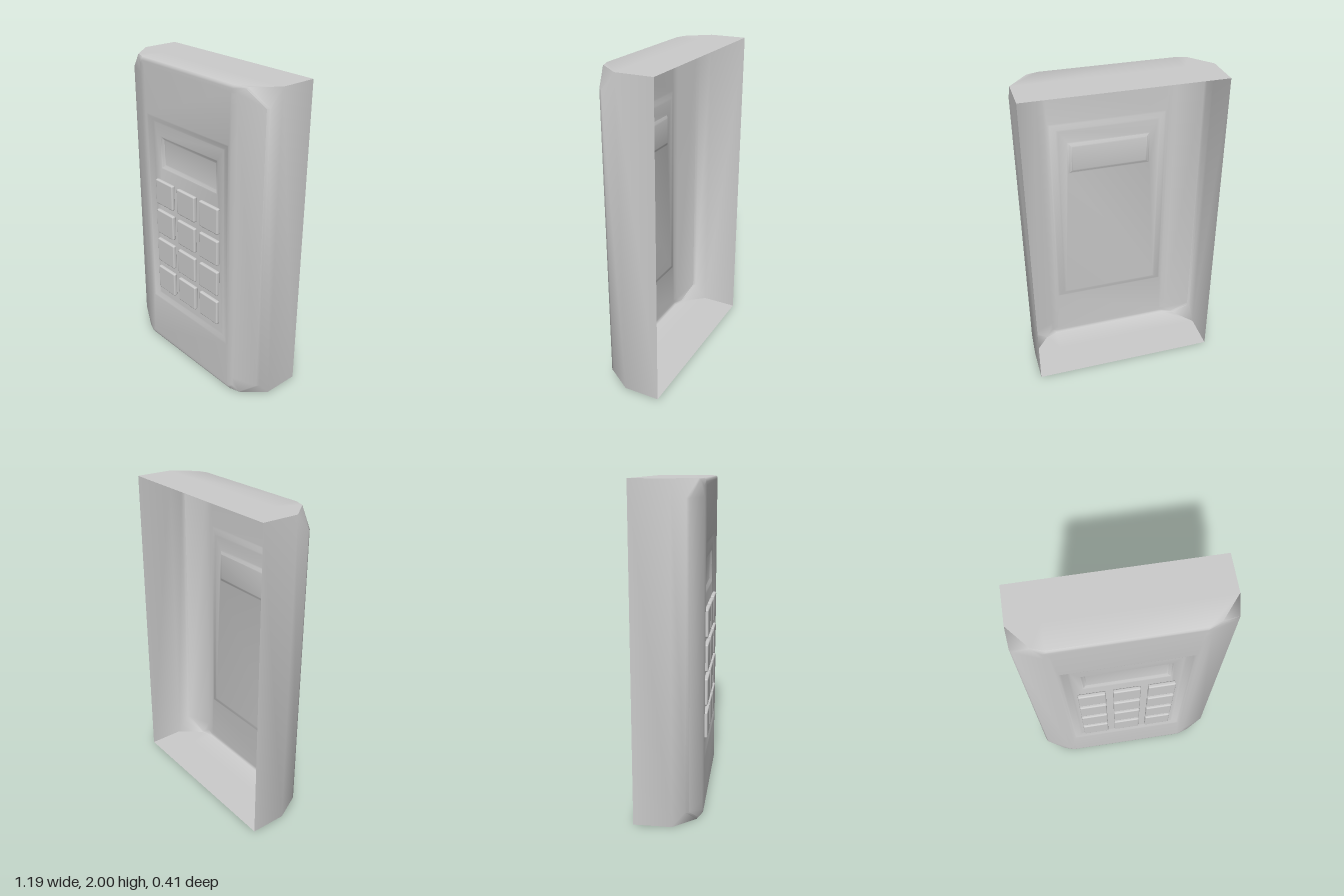
import * as THREE from 'three';
import { toCreasedNormals } from 'three/addons/utils/BufferGeometryUtils.js';
import { RoundedBoxGeometry } from 'three/addons/geometries/RoundedBoxGeometry.js';

const FACE_Z = 0.195, PANEL_Z = 0.178, SCREEN_Z = 0.162;

// Full loop from one corner (side point, corner point, top point), mirrored to four corners.
// Points run counter-clockwise seen from the front.
function loop(corner, cy = 1) {
  const back = [...corner].reverse();
  const place = (pts, sx, sy) => pts.map(([x, y, z]) => new THREE.Vector3(sx * x, cy + sy * y, z));
  return [...place(corner, 1, 1), ...place(back, -1, 1), ...place(corner, -1, -1), ...place(back, 1, -1)];
}

// Plain rectangle loop
function rect(hx, hy, z, cy = 1) {
  return loop([[hx, hy, z], [hx, hy, z], [hx, hy, z]], cy);
}

// Skin between successive loops, leaving out collapsed triangles
function loft(loops) {
  const out = [];
  const tri = new THREE.Triangle();
  const add = (a, b, c) => {
    tri.set(a, b, c);
    if (tri.getArea() > 1e-8) out.push(...a.toArray(), ...b.toArray(), ...c.toArray());
  };
  for (let i = 0; i < loops.length - 1; i++) {
    const p = loops[i], q = loops[i + 1], n = p.length;
    for (let j = 0; j < n; j++) {
      const k = (j + 1) % n;
      add(p[j], p[k], q[k]);
      add(p[j], q[k], q[j]);
    }
  }
  const geo = new THREE.BufferGeometry();
  geo.setAttribute('position', new THREE.Float32BufferAttribute(out, 3));
  return toCreasedNormals(geo, 0.85);
}

export function createModel() {
  const group = new THREE.Group();
  const shellMat = new THREE.MeshStandardMaterial({ color: 0xcccccc, side: THREE.DoubleSide });
  const keyMat = new THREE.MeshStandardMaterial({ color: 0xcccccc });

  // Open-backed housing: walls, cut corners, chamfered sides, sunken panel and screen
  const housing = new THREE.Mesh(loft([
    loop([[0.594, 1, -0.205], [0.594, 1, -0.205], [0.41, 1, -0.205]]),
    loop([[0.594, 1, 0.025], [0.594, 1, 0.025], [0.41, 1, 0.025]]),
    loop([[0.594, 0.9, 0.108], [0.48, 1, 0.162], [0.41, 1, 0.185]]),
    loop([[0.583, 0.9, 0.126], [0.474, 0.992, 0.17], [0.405, 0.992, FACE_Z - 0.002]]),
    loop([[0.43, 0.9, 0.188], [0.43, 0.96, 0.187], [0.4, 0.98, FACE_Z]]),
    loop([[0.395, 0.88, FACE_Z], [0.395, 0.95, FACE_Z], [0.385, 0.96, FACE_Z]]),
    // panel recess
    rect(0.375, 0.662, FACE_Z),
    rect(0.362, 0.652, FACE_Z - 0.003),
    rect(0.33, 0.625, PANEL_Z + 0.002),
    rect(0.315, 0.615, PANEL_Z),
    // screen recess
    rect(0.265, 0.108, PANEL_Z, 1.43),
    rect(0.256, 0.1, PANEL_Z - 0.003, 1.43),
    rect(0.242, 0.084, SCREEN_Z + 0.002, 1.43),
    rect(0.234, 0.077, SCREEN_Z, 1.43),
    rect(0, 0, SCREEN_Z, 1.43),
  ]), shellMat);
  housing.name = 'housing';
  group.add(housing);

  // Keypad: three columns, four rows
  const keypad = new THREE.Group();
  keypad.name = 'keypad';
  const keyGeo = new RoundedBoxGeometry(0.168, 0.168, 0.026, 3, 0.009);
  for (let row = 0; row < 4; row++) {
    for (let col = -1; col <= 1; col++) {
      const key = new THREE.Mesh(keyGeo, keyMat);
      key.name = 'key';
      key.position.set(col * 0.212 - 0.002, 1.166 - row * 0.212, 0.192);
      keypad.add(key);
    }
  }
  group.add(keypad);
  return group;
}
